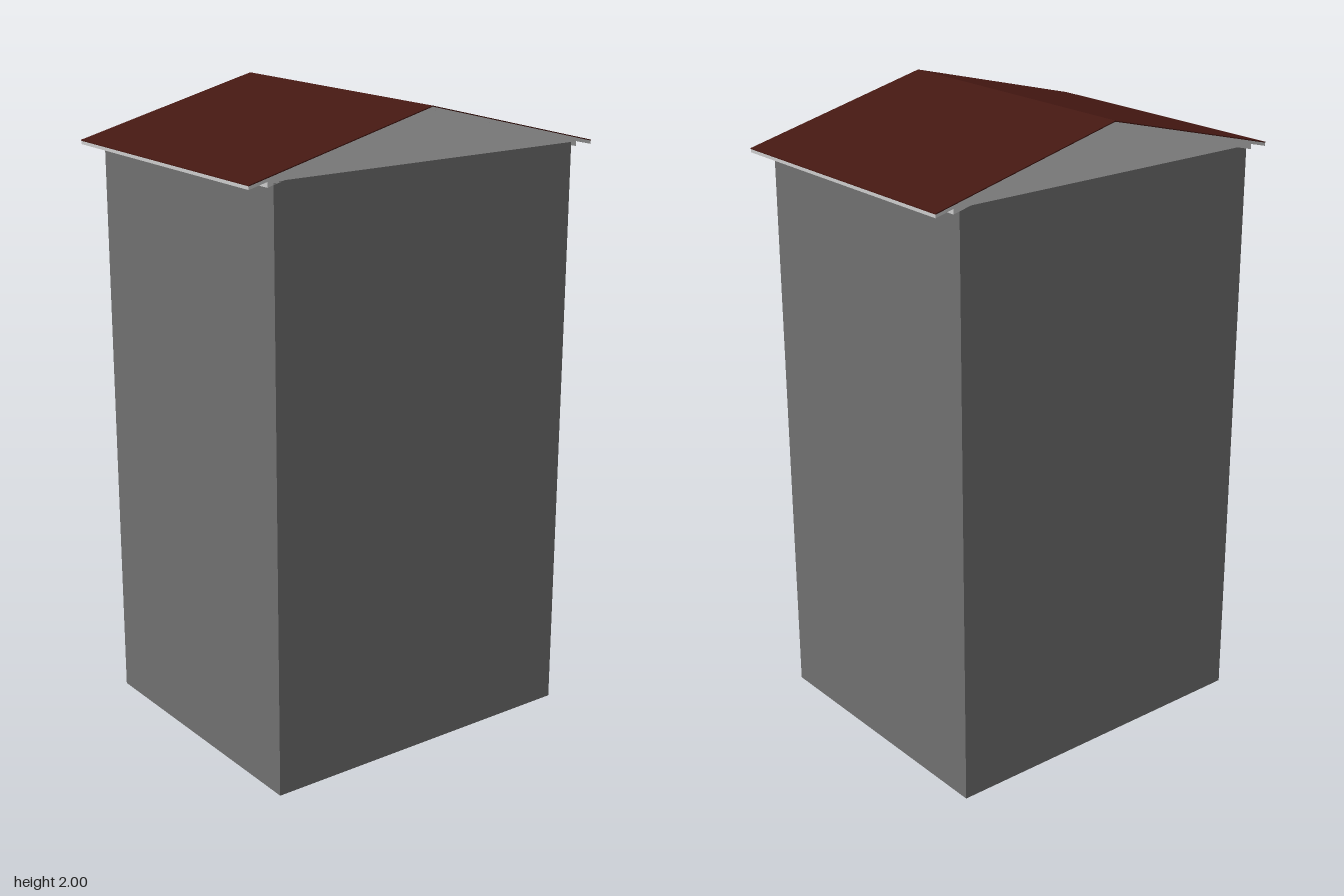
import * as THREE from 'three';

const grey = new THREE.MeshStandardMaterial({ color: 0xcccccc });
const wallGrey = new THREE.MeshStandardMaterial({ color: 0x707070 });
const red = new THREE.MeshStandardMaterial({ color: 0x451812 });

const HALF_DEPTH = 0.456;
const RIDGE = 2, SLOPE = 0.25;

// Extrudes an outline along z, centred; the rear of the ridge juts out by `jut`
function prism(name, points, material, halfDepth, jut = 0) {
  const shape = new THREE.Shape(points.map(([x, y]) => new THREE.Vector2(x, y)));
  const geometry = new THREE.ExtrudeGeometry(shape, { depth: halfDepth * 2, bevelEnabled: false });
  geometry.translate(0, 0, -halfDepth);
  const p = geometry.attributes.position;
  for (let i = 0; i < p.count; i++) {
    if (Math.abs(p.getX(i)) < 0.001 && p.getZ(i) < 0) p.setZ(i, p.getZ(i) - jut);
  }
  geometry.computeVertexNormals();
  const mesh = new THREE.Mesh(geometry, material);
  mesh.name = name;
  return mesh;
}

// Layer of a pitched roof: `drop` below the ridge line, `thick` in height
function roofLayer(name, halfWidth, drop, thick, material, halfDepth) {
  const top = RIDGE - drop, eave = top - halfWidth * SLOPE;
  return prism(name, [
    [-halfWidth, eave], [-halfWidth, eave - thick], [0, top - thick],
    [halfWidth, eave - thick], [halfWidth, eave], [0, top],
  ], material, halfDepth, 0.006);
}

export function createModel() {
  const model = new THREE.Group();
  model.name = 'tower';

  // Plain walls
  const wallHeight = 1.845;
  const walls = new THREE.Mesh(new THREE.BoxGeometry(1.084, wallHeight, 0.91), wallGrey);
  walls.name = 'walls';
  walls.position.y = wallHeight / 2;
  model.add(walls);

  // Gable ends, filled through the attic
  model.add(prism('gable', [[-0.54, 1.845], [0.54, 1.845], [0.54, 1.855], [0, 1.99], [-0.54, 1.855]], grey, 0.455));

  // Roof: coloured covering, boards and a narrower layer under the eaves
  model.add(roofLayer('roofCovering', 0.622, 0, 0.003, red, HALF_DEPTH + 0.001));
  model.add(roofLayer('roofBoards', 0.622, 0.003, 0.01, grey, HALF_DEPTH));
  model.add(roofLayer('eaveLining', 0.562, 0.013, 0.016, grey, HALF_DEPTH - 0.001));

  return model;
}
